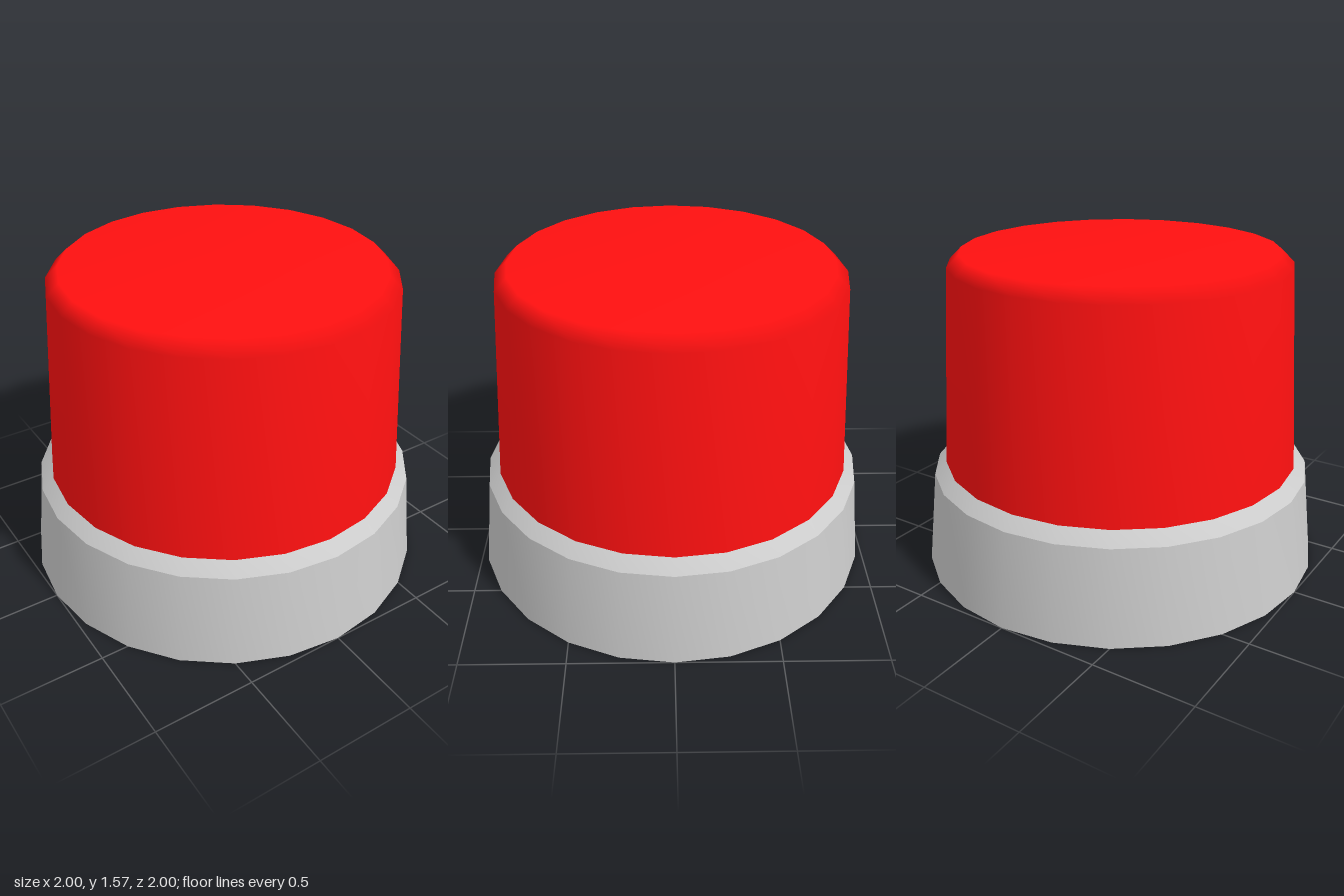
import * as THREE from 'three';
import { toCreasedNormals } from 'three/addons/utils/BufferGeometryUtils.js';

const SIDES = 24;

// Turn a profile of [radius, height] pairs, listed from bottom to top
function turned(profile) {
  return new THREE.LatheGeometry(profile.map(([r, y]) => new THREE.Vector2(r, y)), SIDES);
}

function part(name, geometry, color) {
  const mesh = new THREE.Mesh(geometry, new THREE.MeshStandardMaterial({ color }));
  mesh.name = name;
  return mesh;
}

export function createModel() {
  const model = new THREE.Group();
  model.name = 'beaconLight';

  // Tapered base with a closed underside and a crisp chamfer
  const base = turned([[0, 0], [1, 0], [0.95, 0.47], [0.89, 0.53]]);
  model.add(part('base', toCreasedNormals(base, Math.PI / 6), 0xcccccc));

  // Tapered lens, softly shaded over its bevelled top
  const lens = turned([[0.89, 0.53], [0.83, 1.51], [0.77, 1.57], [0, 1.57]]);
  model.add(part('lens', lens, 0xff1010));

  return model;
}
